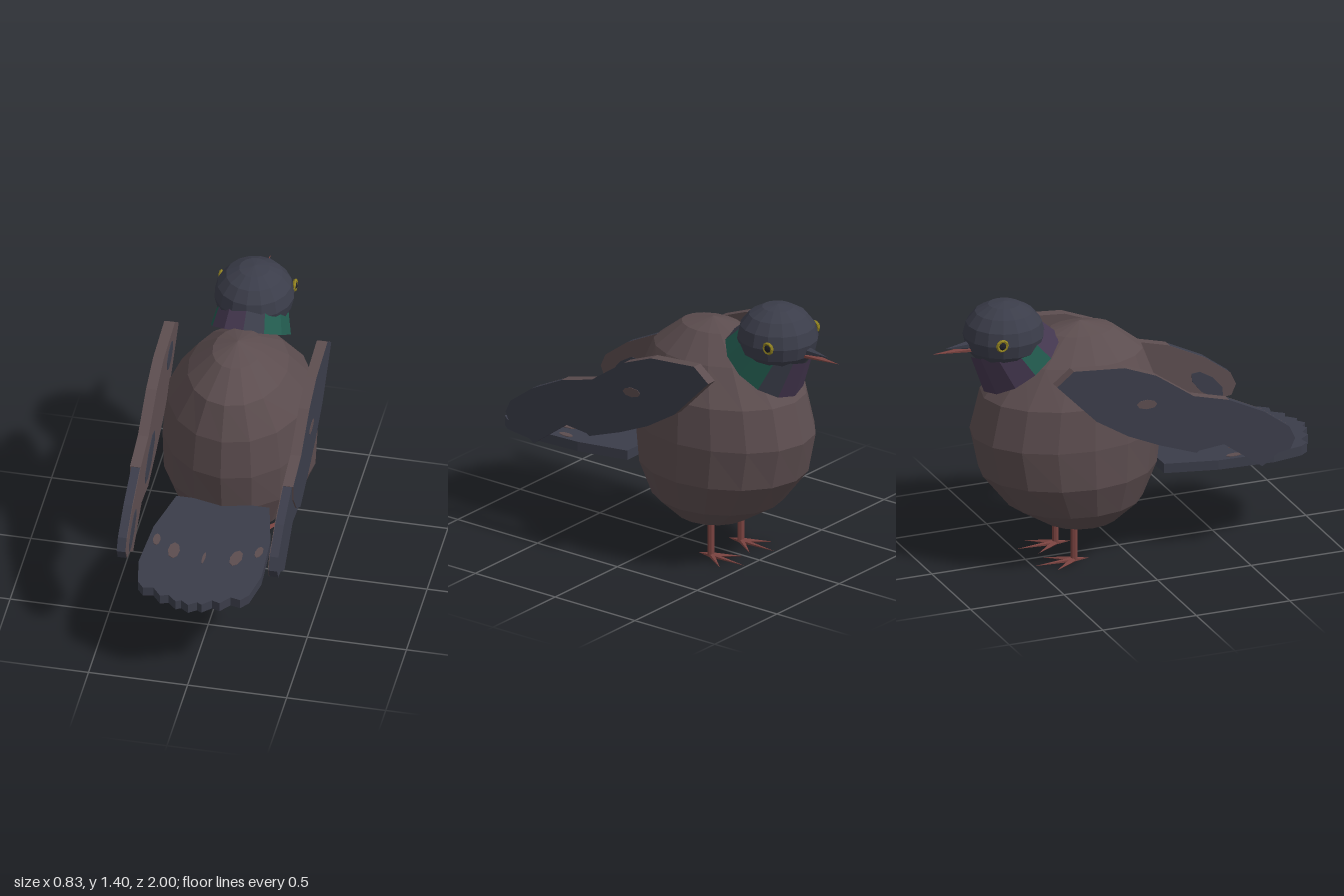
import * as THREE from 'three';

const mat = (name, color) => {
  const m = new THREE.MeshStandardMaterial({ color, flatShading: true });
  m.name = name;
  return m;
};

export function createModel() {
  const slate = mat('slate', 0x3b3d4a), brown = mat('brown', 0x5c4d4f);
  const green = mat('green', 0x225a4e), purple = mat('purple', 0x44374f);
  const yellow = mat('yellow', 0x8f8020), pink = mat('dull pink', 0x7a4340);
  const black = mat('pupil black', 0x1e1f28);

  const bird = new THREE.Group();
  bird.name = 'bird';
  const add = (name, geo, material, parent = bird) => {
    const m = new THREE.Mesh(geo, material);
    m.name = name;
    parent.add(m);
    return m;
  };
  const extrude = (pts, depth) => new THREE.ExtrudeGeometry(
    new THREE.Shape(pts.map(p => new THREE.Vector2(p[0], p[1]))), { depth, bevelEnabled: false });
  // upright plate: points are (z, y), spanning x0..x1
  const sidePlate = (pts, x0, x1) => extrude(pts, x1 - x0).rotateY(-Math.PI / 2).translate(x1, 0, 0);
  // lying plate: points are (x, z), spanning y0..y1
  const flatPlate = (pts, y0, y1) => extrude(pts, y1 - y0).rotateX(Math.PI / 2).translate(0, y1, 0);
  const ellipse = (u, v, ru, rv, turn = 0) => Array.from({ length: 8 }, (_, i) => {
    const a = i * Math.PI / 4, p = ru * Math.cos(a), q = rv * Math.sin(a);
    return [u + p * Math.cos(turn) - q * Math.sin(turn), v + p * Math.sin(turn) + q * Math.cos(turn)];
  });
  // cone from a to b, thick end at a
  const spike = (a, b, r) => {
    const A = new THREE.Vector3(...a), d = new THREE.Vector3(...b).sub(A);
    const g = new THREE.ConeGeometry(r, d.length(), 6).translate(0, d.length() / 2, 0);
    g.applyQuaternion(new THREE.Quaternion().setFromUnitVectors(new THREE.Vector3(0, 1, 0), d.normalize()));
    return g.translate(A.x, A.y, A.z);
  };

  // body: sphere with each ring resized and pushed toward the breast
  const rx = [.32, .32, .35, .385, .385, .41, .43, .444, .444];
  const rz = [.44, .44, .48, .49, .49, .49, .49, .49, .49];
  const cz = [-.21, -.205, -.225, -.27, -.285, -.275, -.24, -.208, -.21];
  const body = new THREE.SphereGeometry(1, 16, 8), p = body.attributes.position;
  for (let i = 0; i < p.count; i++) {
    const r = Math.floor(i / 17);
    p.setXYZ(i, p.getX(i) * rx[r], .685 + p.getY(i) * .545, cz[r] + p.getZ(i) * rz[r]);
  }
  add('body', body, brown);

  // neck: tilted collar, coloured segment by segment
  const neckGeo = new THREE.CylinderGeometry(.18, .232, .2, 12, 1, true);
  neckGeo.clearGroups();
  [0, 1, 1, 1, 0, 2, 2, 2, 2, 1, 2, 2].forEach((c, i) => neckGeo.addGroup(i * 6, 6, c));
  neckGeo.translate(0, .1, 0).scale(.87, 1, 1).rotateX(-.6).translate(0, 1.06, -.53);
  add('neck', neckGeo, [slate, green, purple]);

  // head, beak and eyes
  add('head', new THREE.SphereGeometry(1, 16, 8).scale(.2, .171, .205).translate(0, 1.224, -.615), slate);
  add('upperBeak', spike([0, 1.19, -.78], [0, 1.187, -.93], .028), slate);
  add('lowerBeak', spike([0, 0, -.78], [0, 0, -1], .035).scale(1, .4, 1).translate(0, 1.168, 0), pink);
  for (const s of [-1, 1]) {
    const eye = new THREE.Group();
    eye.name = s > 0 ? 'leftEye' : 'rightEye';
    eye.position.set(s * .187, 1.237, -.7);
    eye.rotation.y = s * Math.PI / 2;
    bird.add(eye);
    add('eyeRing', new THREE.TorusGeometry(.025, .009, 5, 10), yellow, eye);
    add('pupil', new THREE.SphereGeometry(.022, 8, 6).scale(1, 1, .6), black, eye);
  }

  // wings
  const fore = [[-.41, 1.14], [-.5, 1.07], [-.29, .855], [-.12, .75], [.05, .675], [.245, .605],
    [.34, .67], [.41, .77], [.42, .86], [.23, .91], [.03, 1.05], [-.14, 1.117]];
  const hind = [[.15, .7], [.245, .61], [.395, .625], [.6, .475], [.685, .535], [.75, .545],
    [.775, .6], [.745, .665], [.61, .765], [.42, .858], [.25, .87]];
  for (const s of [-1, 1]) {
    const wing = new THREE.Group();
    wing.name = s > 0 ? 'leftWing' : 'rightWing';
    bird.add(wing);
    const plate = (name, pts, a, b, m) =>
      add(name, sidePlate(pts, Math.min(s * a, s * b), Math.max(s * a, s * b)), m, wing);
    plate('foreWing', fore, .362, .412, [slate, brown]);
    plate('hindWing', hind, .361, .405, slate);
    plate('foreWingLining', fore, .358, .362, brown);
    plate('hindWingLining', hind, .358, .361, brown);
    plate('wingSpot', ellipse(-.02, .905, .055, .025, -.1), .411, .414, brown);
    plate('liningPatch', ellipse(.2, .76, .14, .06, -.6), .355, .359, slate);
    plate('liningPatch', ellipse(-.28, 1.03, .08, .05, -.5), .355, .359, slate);
    plate('liningPatch', ellipse(.62, .62, .11, .045, -.7), .355, .359, slate);
  }

  // tail: fan with scalloped end
  const half = [[.235, .145], [.295, .41], [.31, .7], [.28, .86], [.245, .905], [.195, .893],
    [.15, .95], [.11, .935], [.065, .98], [.04, .965]];
  const fan = [...half, [0, .995], ...half.map(([x, z]) => [-x, z]).reverse()];
  add('tail', flatPlate(fan, .445, .495), slate);
  for (const s of [-1, 1]) {
    add('tailSpot', flatPlate(ellipse(s * .157, .58, .03, .063, s * .1), .494, .498), brown);
    add('tailSpot', flatPlate(ellipse(s * .258, .51, .019, .045, s * .1), .494, .498), brown);
    add('tailUnderSpot', flatPlate(ellipse(s * .157, .58, .02, .04), .442, .446), brown);
  }
  add('tailCentreMark', flatPlate(ellipse(0, .61, .008, .045), .494, .498), brown);

  // legs and feet
  for (const s of [-1, 1]) {
    const leg = new THREE.Group();
    leg.name = s > 0 ? 'leftLeg' : 'rightLeg';
    leg.position.set(s * .12, 0, -.29);
    bird.add(leg);
    add('shin', new THREE.CylinderGeometry(.018, .018, .22, 8).translate(0, .12, 0), pink, leg);
    for (const [x, z] of [[0, -.21], [-.095, -.13], [.095, -.13], [0, .08]])
      add('toe', spike([0, .014, 0], [x, .008, z], .017).scale(1, .8, 1), pink, leg);
  }
  return bird;
}
